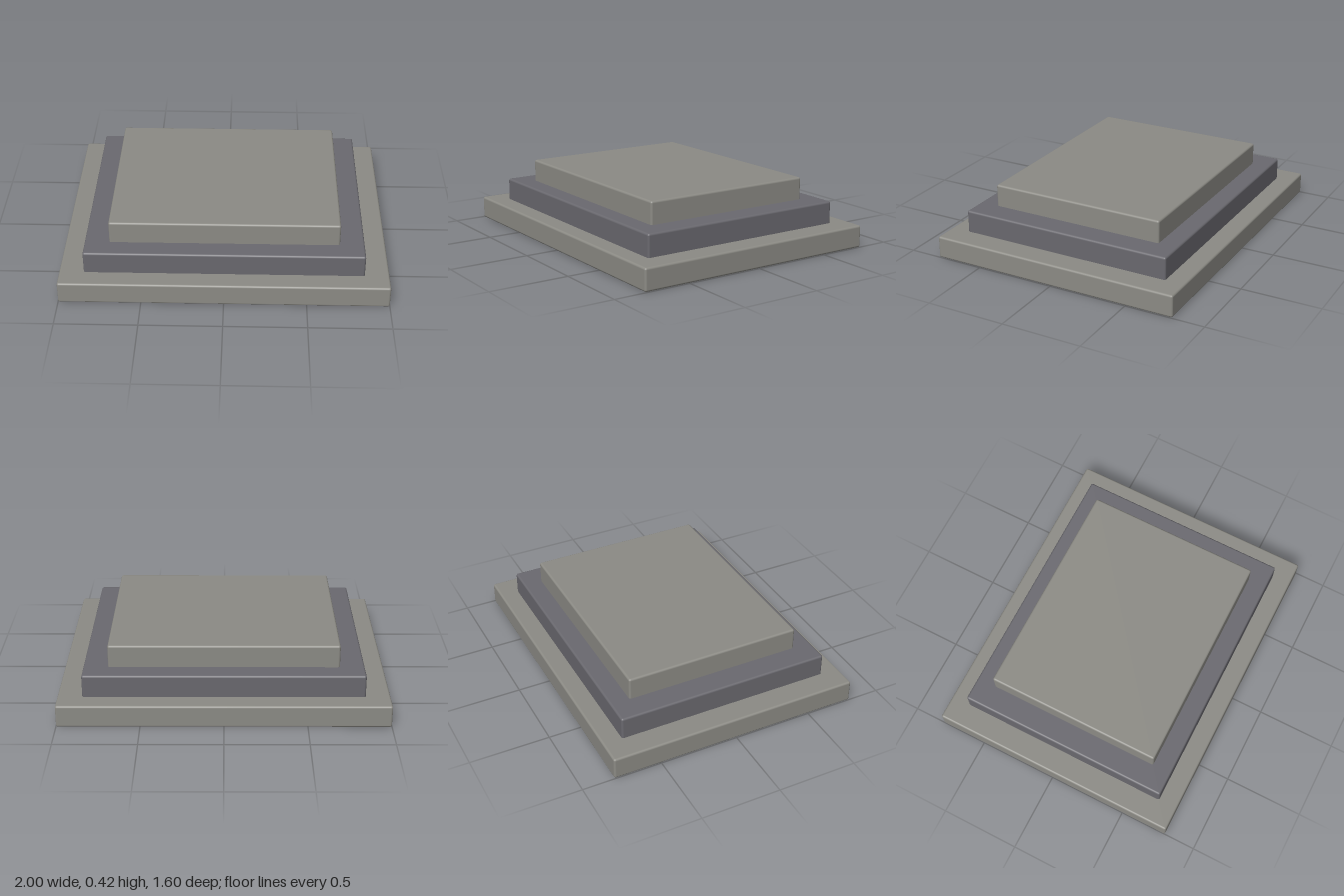
import * as THREE from 'three';
import { RoundedBoxGeometry } from 'three/addons/geometries/RoundedBoxGeometry.js';

const STEP = 0.14;   // visible height of each tier
const BEVEL = 0.013; // softened edge radius

export function createModel() {
  const model = new THREE.Group();
  model.name = 'steppedPlinth';

  const stone = new THREE.MeshStandardMaterial({ color: 0x8c8b85 });
  const darkStone = new THREE.MeshStandardMaterial({ color: 0x6a696f });

  const tiers = [
    { name: 'bottomStep', width: 2.0, depth: 1.6, material: stone },
    { name: 'middleStep', width: 1.7, depth: 1.36, material: darkStone },
    { name: 'topStep', width: 1.4, depth: 1.12, material: stone },
  ];

  // Upper tiers sink slightly into the one below so their lower bevel is hidden
  tiers.forEach(({ name, width, depth, material }, i) => {
    const sink = i === 0 ? 0 : 0.03;
    const height = STEP + sink;
    const step = new THREE.Mesh(new RoundedBoxGeometry(width, height, depth, 3, BEVEL), material);
    step.name = name;
    step.position.y = i * STEP - sink + height / 2;
    model.add(step);
  });

  return model;
}
